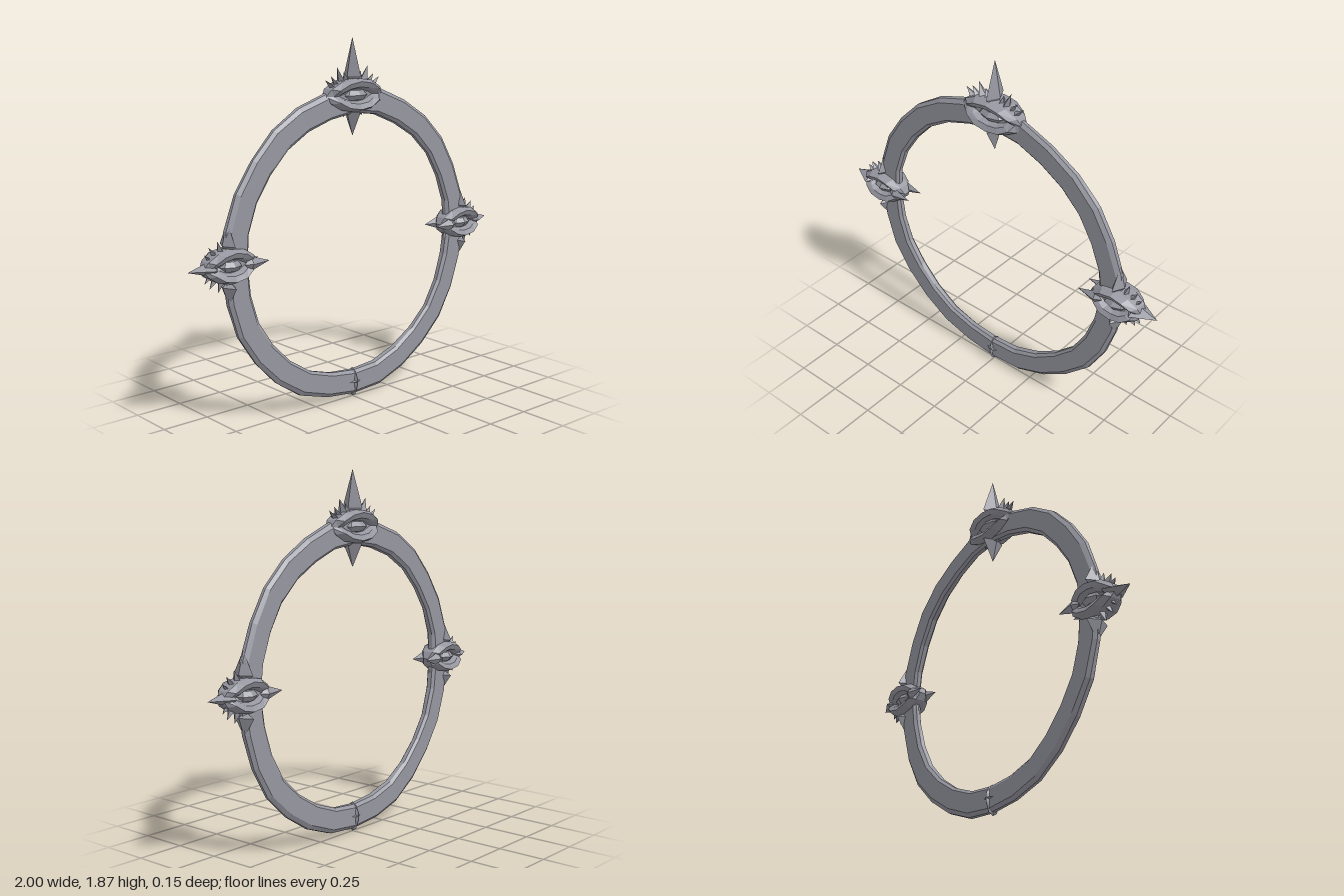
import * as THREE from 'three';

const steel = new THREE.MeshStandardMaterial({ color: 0x9696a0, flatShading: true });
steel.name = 'greySteel';

function add(parent, geometry, name) {
  const mesh = new THREE.Mesh(geometry, steel);
  mesh.name = name;
  parent.add(mesh);
  return mesh;
}

// Four-sided spike, widest at its base and tapering to its tip
function spike(parent, name, base, tip, width, depth) {
  const dir = new THREE.Vector3(tip[0] - base[0], tip[1] - base[1], 0);
  const len = dir.length();
  const profile = [[0, -0.35], [1, 0], [0, 1]].map(p => new THREE.Vector2(...p));
  const g = new THREE.LatheGeometry(profile, 4);
  g.scale(width, len, depth);
  g.rotateZ(Math.atan2(-dir.x, dir.y));
  const mesh = add(parent, g, name);
  mesh.position.set(base[0], base[1], base[2] || 0);
  return mesh;
}

// Almond eyelids with a recessed socket on both faces
function eyelids(a, b) {
  const n = 12;
  const half = [[1, 1, 0.036], [0.8, 0.82, 0.073], [0.6, 0.5, 0.06], [0.5, 0.36, 0.03], [0, 0, 0.03]];
  const loops = [...half].reverse().map(([u, v, z]) => [u, v, -z]).concat(half);
  const pos = [], index = [];
  for (const [u, v, z] of loops) {
    for (let j = 0; j < n; j++) {
      const t = j / n * Math.PI * 2, c = Math.cos(t), s = Math.sin(t);
      const taper = 1 - 0.55 * Math.abs(c) ** 8;
      pos.push(a * u * c, b * v * Math.sign(s) * Math.abs(s) ** 1.25, z * taper);
    }
  }
  for (let i = 0; i < loops.length - 1; i++) {
    for (let j = 0; j < n; j++) {
      const k = (j + 1) % n, p = i * n, q = p + n;
      index.push(p + j, p + k, q + k, p + j, q + k, q + j);
    }
  }
  const g = new THREE.BufferGeometry();
  g.setAttribute('position', new THREE.Float32BufferAttribute(pos, 3));
  g.setIndex(index);
  g.computeVertexNormals();
  return g;
}

function eye(name, x, y, a, b) {
  const group = new THREE.Group();
  group.name = name;
  group.position.set(x, y, 0);
  add(group, eyelids(a, b), 'eyelids');
  const ball = new THREE.SphereGeometry(1, 8, 4);
  ball.scale(a * 0.46, b * 0.4, 0.062);
  add(group, ball, 'eyeball');
  return group;
}

export function createModel() {
  const model = new THREE.Group();
  model.name = 'spikedRing';

  // Hammered flat ring with chamfered edges
  const section = [[0.675, -0.012], [0.69, -0.025], [0.785, -0.025], [0.805, -0.01], [0.805, 0.01],
    [0.785, 0.025], [0.69, 0.025], [0.675, 0.012], [0.675, -0.012]];
  const ring = new THREE.LatheGeometry(section.map(p => new THREE.Vector2(...p)), 28);
  ring.rotateX(Math.PI / 2);
  const p = ring.attributes.position;
  for (let i = 0; i < p.count; i++) {
    const t = Math.atan2(p.getY(i), p.getX(i));
    const k = 1 + 0.005 * Math.sin(9 * t + 1) + 0.004 * Math.sin(5 * t + p.getZ(i) * 60);
    p.setXYZ(i, p.getX(i) * k, p.getY(i) * k, p.getZ(i));
  }
  add(model, ring, 'ring').position.y = 0.817;

  // Top eye with its crown of spikes
  const top = eye('topEye', 0, 1.585, 0.185, 0.085);
  model.add(top);
  spike(top, 'crownSpike', [0, 0.095], [0, 0.285], 0.034, 0.064);
  spike(top, 'lowerSpike', [0, -0.085], [0, -0.205], 0.036, 0.062);
  for (const s of [-1, 1]) {
    spike(top, 'innerLash', [s * 0.04, 0.065], [s * 0.056, 0.115], 0.014, 0.03);
    spike(top, 'longLash', [s * 0.07, 0.06], [s * 0.1, 0.14], 0.02, 0.035);
    spike(top, 'middleLash', [s * 0.1, 0.05], [s * 0.14, 0.1], 0.014, 0.028);
    spike(top, 'outerLash', [s * 0.12, 0.035], [s * 0.178, 0.082], 0.018, 0.03);
    spike(top, 'underLash', [s * 0.045, -0.065], [s * 0.06, -0.108], 0.016, 0.035);
  }

  // Side eyes, mirrored
  for (const s of [-1, 1]) {
    const side = eye(s > 0 ? 'leftEye' : 'rightEye', s * 0.775, 0.835, 0.15, 0.085);
    model.add(side);
    spike(side, 'outerSpike', [s * 0.105, 0], [s * 0.225, 0], 0.036, 0.068);
    for (const z of [-0.046, 0.046]) {
      spike(side, 'innerProng', [s * -0.1, 0, z], [s * -0.208, 0], 0.036, 0.024);
    }
    spike(side, 'upperSpike', [0, 0.095], [0, 0.21], 0.032, 0.064);
    spike(side, 'downSpike', [0, -0.105], [0, -0.2], 0.034, 0.066);
    for (const v of [-1, 1]) {
      spike(side, 'cornerLash', [s * 0.07, v * 0.05], [s * 0.108, v * 0.1], 0.018, 0.032);
      spike(side, 'tipLash', [s * 0.095, v * 0.03], [s * 0.135, v * 0.07], 0.014, 0.028);
      spike(side, 'middleLash', [s * 0.04, v * 0.065], [s * 0.06, v * 0.125], 0.016, 0.03);
      spike(side, 'innerLash', [s * -0.05, v * 0.06], [s * -0.08, v * 0.1], 0.016, 0.03);
    }
    // Thin thorn lying along the inner edge of the ring
    spike(side, 'thorn', [s * -0.1, -0.07], [s * -0.112, -0.165], 0.01, 0.02);
  }

  // Four-pointed star at the bottom
  const star = new THREE.Group();
  star.name = 'bottomStar';
  star.position.y = 0.085;
  model.add(star);
  const blade = [[0, -0.085], [0.6, -0.07], [1, -0.02], [1, 0.02], [0.6, 0.055], [0, 0.072]];
  const upright = new THREE.LatheGeometry(blade.map(q => new THREE.Vector2(...q)), 4);
  upright.scale(0.017, 1, 0.041);
  add(star, upright, 'uprightBlade');
  const cross = new THREE.OctahedronGeometry(1);
  cross.scale(0.085, 0.018, 0.042);
  add(star, cross, 'crossBlade');

  return model;
}
